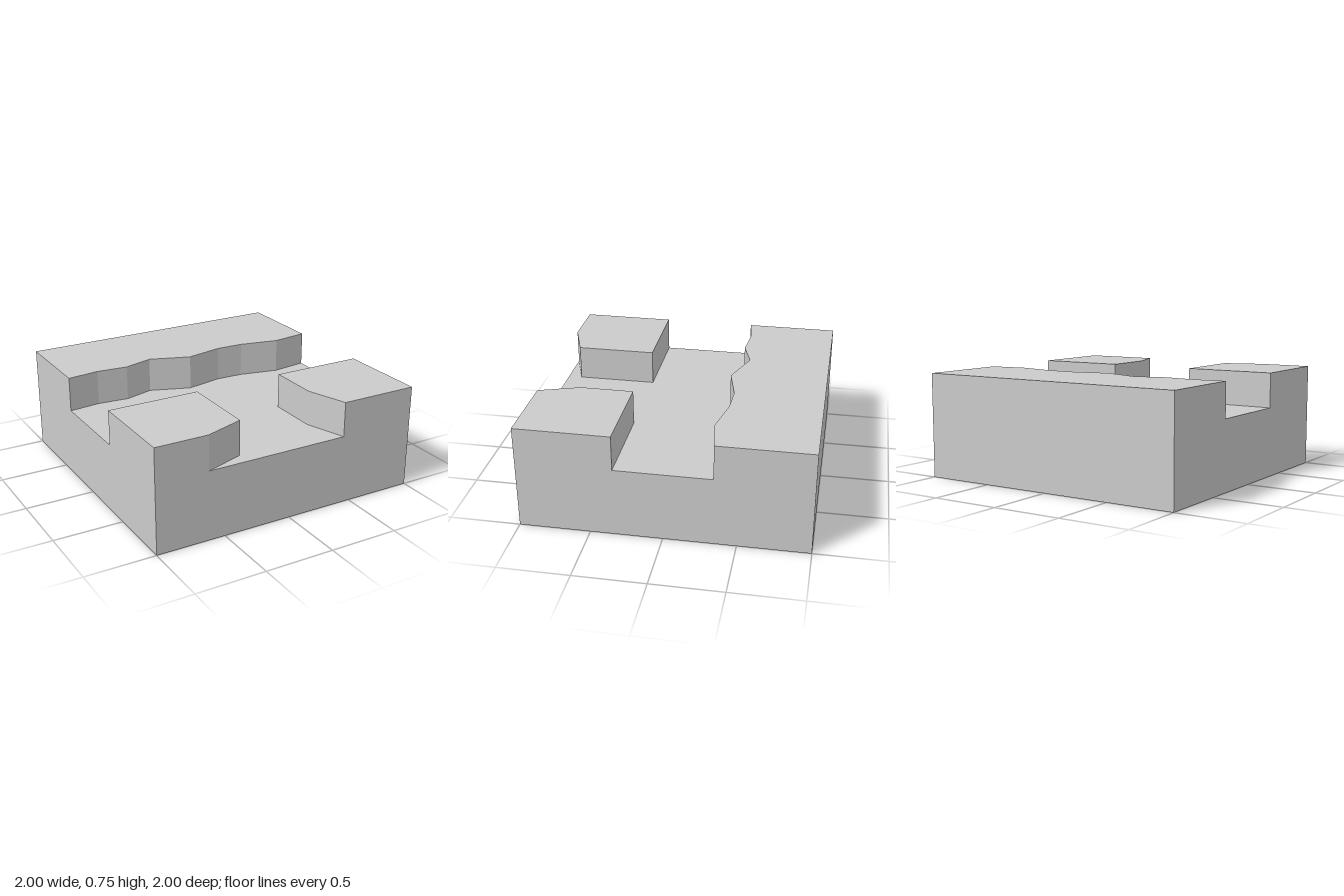
import * as THREE from 'three';

const BASE_HEIGHT = 0.5;
const BLOCK_HEIGHT = 0.25;

const material = new THREE.MeshStandardMaterial({ color: 0xcccccc, flatShading: true });

// Upright block from a plan outline of [x, z] points
function planBlock(name, outline) {
  const shape = new THREE.Shape(outline.map(([x, z]) => new THREE.Vector2(x, -z)));
  const geometry = new THREE.ExtrudeGeometry(shape, { depth: BLOCK_HEIGHT, bevelEnabled: false });
  geometry.rotateX(-Math.PI / 2);
  const mesh = new THREE.Mesh(geometry, material);
  mesh.name = name;
  mesh.position.y = BASE_HEIGHT;
  return mesh;
}

export function createModel() {
  const model = new THREE.Group();
  model.name = 'terrainTile';

  // Ground slab
  const base = new THREE.Mesh(new THREE.BoxGeometry(2, BASE_HEIGHT, 2), material);
  base.name = 'base';
  base.position.y = BASE_HEIGHT / 2;
  model.add(base);

  // Full-width ledge along the back with an uneven front face
  const ledgeEdge = [
    [-1, -0.34], [-0.77, -0.367], [-0.545, -0.347], [-0.33, -0.412], [-0.04, -0.307],
    [0.235, -0.368], [0.44, -0.362], [0.73, -0.302], [1, -0.34],
  ];
  model.add(planBlock('backLedge', [...ledgeEdge, [1, -1], [-1, -1]]));

  // Front corner blocks, each with one chipped corner
  model.add(planBlock('rightCornerBlock', [
    [-1, 0.333], [-1, 1], [-0.62, 1], [-0.333, 0.9], [-0.333, 0.333],
  ]));
  model.add(planBlock('leftCornerBlock', [
    [0.333, 0.333], [0.333, 0.71], [0.43, 1], [1, 1], [1, 0.333],
  ]));

  return model;
}
